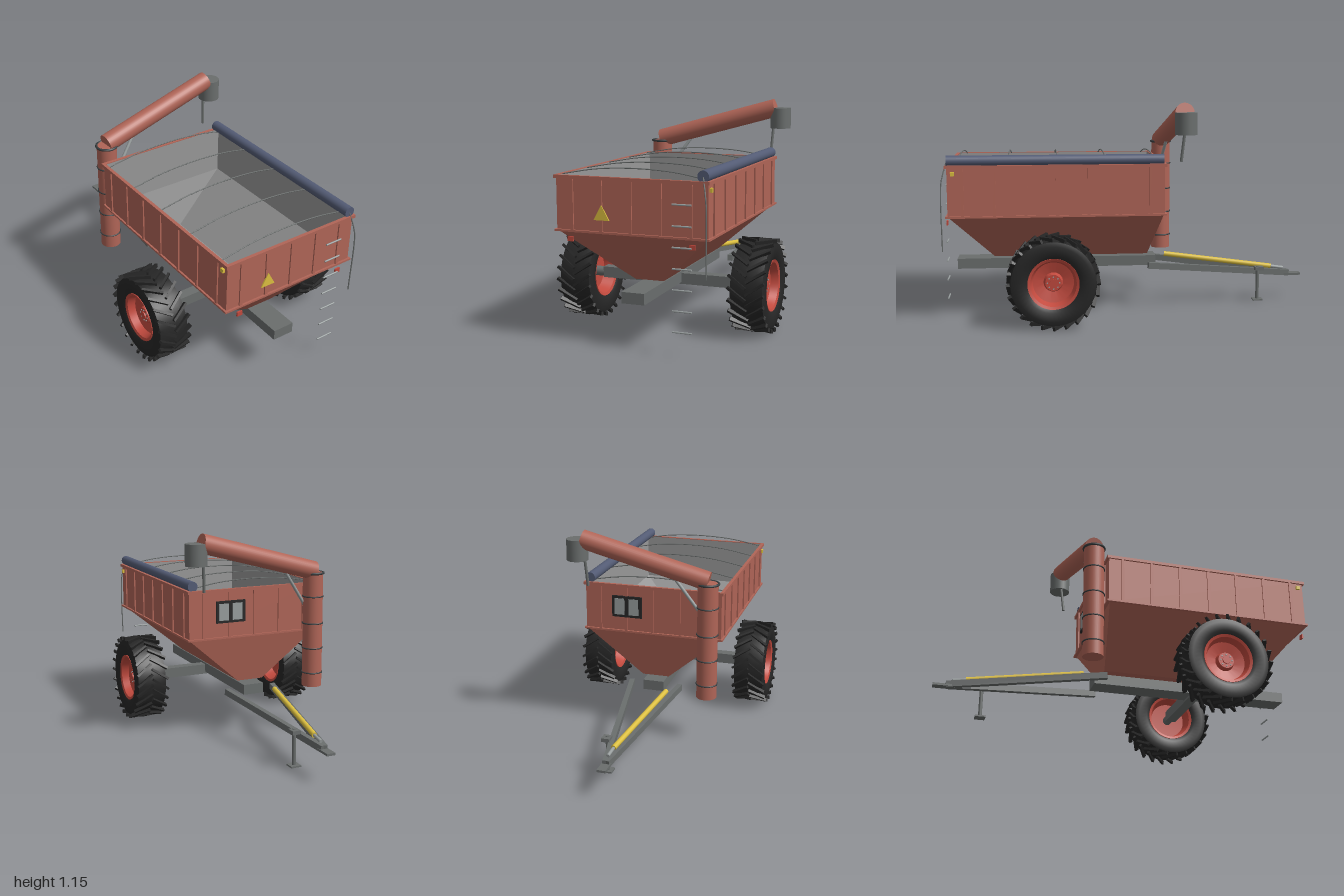
import * as THREE from 'three';
import { toCreasedNormals } from 'three/addons/utils/BufferGeometryUtils.js';

const mat = (name, color) => {
  const m = new THREE.MeshStandardMaterial({ color });
  m.name = name;
  return m;
};
const V = (a) => new THREE.Vector3(...a);

export function createModel() {
  const model = new THREE.Group();
  model.name = 'grainCart';
  const paint = mat('red paint', 0xb06557);
  const rimRed = mat('wheel red', 0xc24a3e);
  const steel = mat('frame grey', 0x6a6e6d);
  const lining = mat('bin lining grey', 0x989898);
  const rubber = mat('tyre black', 0x262626);
  const yellow = mat('safety yellow', 0xdcbf40);
  const tarp = mat('tarp blue grey', 0x535b74);
  const dark = mat('dark metal', 0x3a3f41);
  const bright = mat('light metal', 0x989e9e);

  const add = (name, geo, material, pos = [0, 0, 0], parent = model) => {
    const m = new THREE.Mesh(geo, material);
    m.name = name;
    m.position.set(...pos);
    parent.add(m);
    return m;
  };
  const box = (name, size, pos, material) => add(name, new THREE.BoxGeometry(...size), material, pos);
  // round bar between two points
  const rod = (name, a, b, r, material, sides = 12) => {
    const p = V(a), q = V(b), d = q.clone().sub(p);
    const m = add(name, new THREE.CylinderGeometry(r, r, d.length(), sides), material);
    m.position.copy(p).add(q).multiplyScalar(0.5);
    m.quaternion.setFromUnitVectors(new THREE.Vector3(0, 1, 0), d.normalize());
  };
  // square beam between two points
  const beam = (name, a, b, w, h, material) => {
    const p = V(a), q = V(b);
    const m = add(name, new THREE.BoxGeometry(w, h, p.distanceTo(q)), material);
    m.position.copy(p).add(q).multiplyScalar(0.5);
    m.lookAt(q);
  };
  // shell through rectangles [halfWidth, zBack, zFront, y], closed at the first one
  const shell = (rings, inward) => {
    const pos = [];
    const quad = (a, b, c, d) => {
      for (const p of inward ? [a, c, b, a, d, c] : [a, b, c, a, c, d]) pos.push(...p);
    };
    const loops = rings.map(([x, z0, z1, y]) => [[-x, y, z1], [x, y, z1], [x, y, z0], [-x, y, z0]]);
    const [a, b, c, d] = loops[0];
    quad(d, c, b, a);
    for (let i = 0; i + 1 < loops.length; i++) {
      for (let k = 0; k < 4; k++) {
        const n = (k + 1) % 4;
        quad(loops[i][k], loops[i][n], loops[i + 1][n], loops[i + 1][k]);
      }
    }
    const g = new THREE.BufferGeometry();
    g.setAttribute('position', new THREE.Float32BufferAttribute(pos, 3));
    g.computeVertexNormals();
    return g;
  };

  // Bin and hopper
  add('binOutside', shell([[0.075, -0.1, 0.745, 0.3], [0.377, -0.152, 0.958, 0.562],
    [0.384, -0.158, 0.966, 0.565], [0.384, -0.158, 0.966, 0.832]], false), paint);
  add('binLining', shell([[0.074, -0.098, 0.74, 0.308], [0.374, -0.148, 0.955, 0.568],
    [0.376, -0.15, 0.957, 0.832]], true), lining);
  for (const [y, h] of [[0.827, 0.016], [0.568, 0.01]]) {
    for (const s of [-1, 1]) {
      box('binSideRail', [0.018, h, 1.146], [s * 0.385, y, 0.404], paint);
      box('binEndRail', [0.784, h, 0.018], [0, y, 0.404 + s * 0.564], paint);
    }
  }
  for (const s of [-1, 1]) {
    for (let i = 0; i < 7; i++) box('sideRib', [0.012, 0.25, 0.016], [s * 0.3855, 0.696, -0.085 + i * 0.1625], paint);
    for (let i = -2; i <= 2; i++) box('endRib', [0.016, 0.25, 0.012], [i * 0.151, 0.696, 0.404 + s * 0.5635], paint);
  }

  // Inspection window at the hitch end
  box('windowFrame', [0.17, 0.12, 0.009], [0.145, 0.71, -0.164], rubber);
  for (const x of [0.107, 0.187]) box('windowPane', [0.056, 0.092, 0.006], [x, 0.71, -0.168], bright);

  // Warning triangle, lamps and reflectors
  const tri = new THREE.Shape([[-0.04, -0.035], [0.04, -0.035], [0, 0.037]].map((p) => new THREE.Vector2(...p)));
  add('warningTriangle', new THREE.ExtrudeGeometry(tri, { depth: 0.006, bevelEnabled: false }), yellow, [-0.145, 0.663, 0.971]);
  for (const s of [-1, 1]) {
    box('sideLamp', [0.014, 0.02, 0.02], [s * 0.389, 0.793, 0.937], yellow);
    box('reflector', [0.03, 0.024, 0.008], [s * 0.31, 0.53, 0.974], rimRed);
  }

  // Ladder rungs
  for (let i = 0; i < 7; i++) rod('ladderRung', [0.213, 0.125 + i * 0.1, 0.98], [0.308, 0.125 + i * 0.1, 0.98], 0.0045, bright, 8);

  // Tarp roll, bows and crank
  rod('tarpRoll', [0.36, 0.857, -0.155], [0.36, 0.857, 0.968], 0.028, tarp, 24);
  for (let i = 0; i < 5; i++) {
    const z = -0.113 + i * 0.257;
    const bow = new THREE.CatmullRomCurve3([[-0.38, 0.832, z], [-0.2, 0.863, z], [0, 0.873, z], [0.2, 0.863, z], [0.38, 0.832, z]].map(V));
    add('tarpBow', new THREE.TubeGeometry(bow, 20, 0.003, 6), steel);
  }
  const crank = new THREE.CatmullRomCurve3([[0.36, 0.855, 0.966], [0.375, 0.79, 0.985], [0.384, 0.73, 0.996], [0.384, 0.39, 0.996]].map(V));
  add('tarpCrank', new THREE.TubeGeometry(crank, 24, 0.0035, 6), steel);

  // Unloading auger
  rod('lowerAuger', [-0.325, 0.262, -0.227], [-0.325, 0.902, -0.227], 0.055, paint, 32);
  const band = (name, y, tube) =>
    add(name, new THREE.TorusGeometry(0.056, tube, 8, 32).rotateX(Math.PI / 2), dark, [-0.325, y, -0.227]);
  for (const y of [0.34, 0.48, 0.62, 0.77]) band('augerBand', y, 0.004);
  band('augerFlange', 0.899, 0.007);
  rod('upperAuger', [-0.327, 0.912, -0.227], [0.357, 1.1, -0.265], 0.051, paint, 32);
  rod('spout', [0.385, 0.985, -0.267], [0.385, 1.1, -0.267], 0.058, steel, 32);
  rod('spoutRod', [0.345, 1.0, -0.267], [0.335, 0.84, -0.25], 0.008, steel);
  rod('augerStrut', [-0.13, 0.94, -0.24], [-0.285, 0.72, -0.205], 0.009, bright);

  // Chassis, axle and drawbar
  box('chassisBeam', [0.118, 0.056, 1.1], [0, 0.257, 0.4], steel);
  box('axle', [0.78, 0.058, 0.058], [0, 0.246, 0.43], steel);
  rod('axleShaft', [-0.455, 0.243, 0.43], [0.455, 0.243, 0.43], 0.026, steel, 20);
  for (const s of [-1, 1]) beam('drawbarArm', [s * 0.14, 0.245, -0.1], [s * 0.004, 0.158, -0.93], 0.028, 0.034, steel);
  box('hitch', [0.046, 0.012, 0.1], [0, 0.151, -0.95], steel);
  rod('driveShaft', [-0.095, 0.262, -0.22], [-0.004, 0.195, -0.83], 0.014, yellow, 16);
  rod('driveShaftEnd', [-0.004, 0.195, -0.83], [0, 0.186, -0.9], 0.009, bright);

  // Parking jack
  box('jackBracket', [0.045, 0.02, 0.05], [0.062, 0.198, -0.745], steel);
  rod('jackLeg', [0.06, 0.018, -0.738], [0.06, 0.212, -0.738], 0.01, steel);
  box('jackFoot', [0.056, 0.008, 0.055], [0.06, 0.018, -0.738], steel);

  // Wheels, axis along x
  const lathe = (pts, n) => toCreasedNormals(
    new THREE.LatheGeometry(pts.map((p) => new THREE.Vector2(...p)), n).rotateZ(-Math.PI / 2), 0.6);
  const tyre = lathe([[0.128, -0.072], [0.15, -0.086], [0.195, -0.089], [0.217, -0.082], [0.223, -0.05],
    [0.224, 0], [0.223, 0.05], [0.217, 0.082], [0.195, 0.089], [0.15, 0.086], [0.128, 0.072]], 48);
  const rim = lathe([[0, -0.01], [0.1, -0.015], [0.118, -0.074], [0.132, -0.08], [0.132, 0.08], [0.118, 0.074],
    [0.105, 0.035], [0.05, 0.02], [0.042, 0.045], [0, 0.045]], 40);
  const lug = new THREE.BoxGeometry(0.112, 0.02, 0.013);
  const bolt = new THREE.CylinderGeometry(0.004, 0.004, 0.01, 6).rotateZ(Math.PI / 2);
  const hub = new THREE.CylinderGeometry(0.02, 0.02, 0.012, 20).rotateZ(Math.PI / 2);
  const lugs = 24;
  for (const s of [-1, 1]) {
    const wheel = new THREE.Group();
    wheel.name = s > 0 ? 'leftWheel' : 'rightWheel';
    wheel.position.set(s * 0.465, 0.243, 0.43);
    if (s < 0) wheel.rotation.y = Math.PI;
    model.add(wheel);
    add('tyre', tyre, rubber, [0, 0, 0], wheel);
    add('rim', rim, rimRed, [0, 0, 0], wheel);
    add('hubCap', hub, rimRed, [0.046, 0, 0], wheel);
    for (let i = 0; i < 8; i++) {
      const a = (i * Math.PI) / 4;
      add('wheelBolt', bolt, bright, [0.044, 0.031 * Math.cos(a), 0.031 * Math.sin(a)], wheel);
    }
    // staggered chevron lugs
    for (let i = 0; i < lugs * 2; i++) {
      const half = i % 2 ? 1 : -1;
      const spoke = new THREE.Group();
      spoke.name = 'treadSpoke';
      spoke.rotation.x = (i * Math.PI) / lugs;
      wheel.add(spoke);
      const m = add('treadLug', lug, rubber, [half * 0.046, 0.228, 0], spoke);
      m.rotation.y = half * s * 0.6;
    }
  }
  return model;
}
